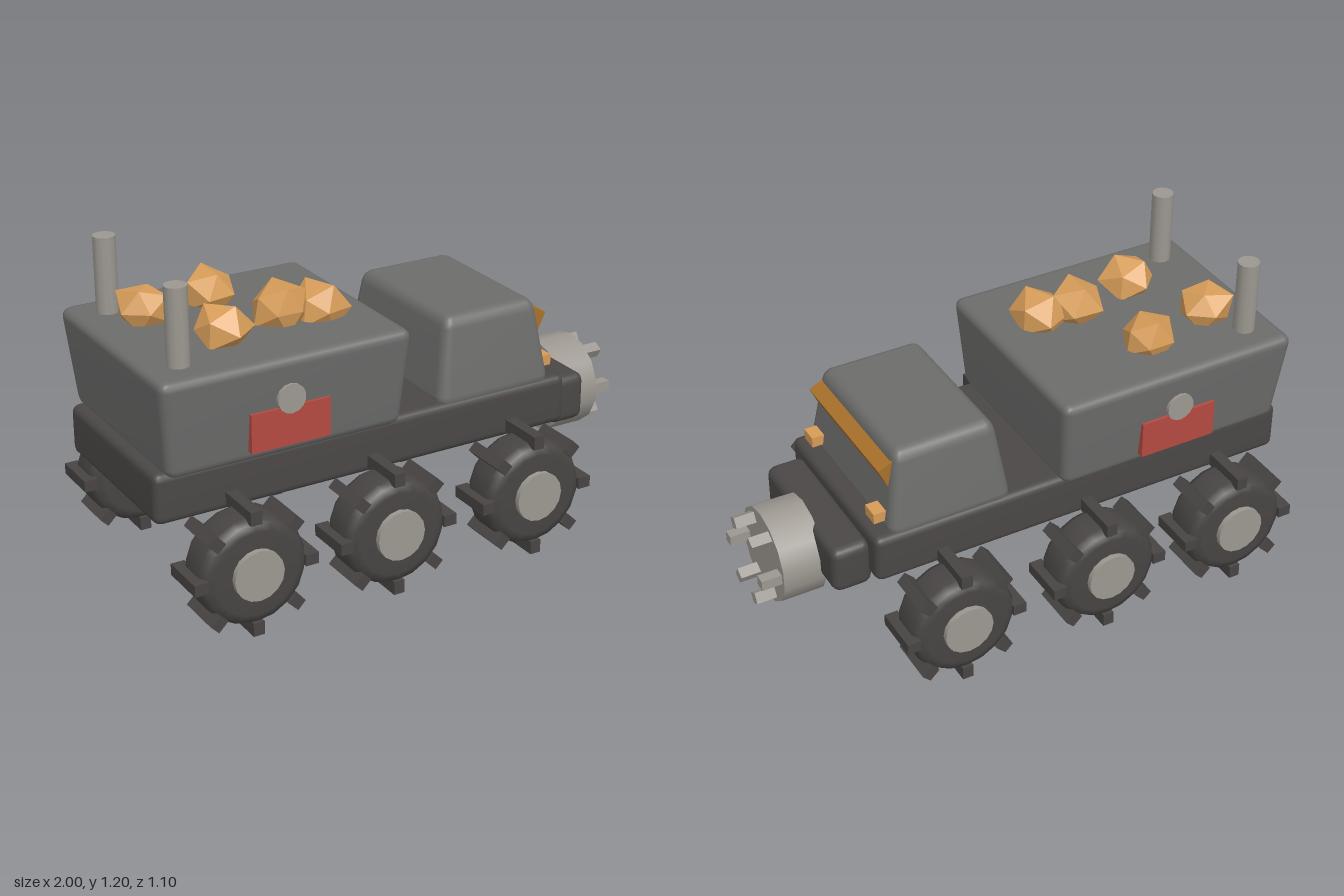
import * as THREE from 'three';
import { RoundedBoxGeometry } from 'three/addons/geometries/RoundedBoxGeometry.js';
import { mergeVertices } from 'three/addons/utils/BufferGeometryUtils.js';

const mat = (name, color, extra = {}) => new THREE.MeshStandardMaterial({ name, color, ...extra });

export function createModel() {
  const model = new THREE.Group();
  model.name = 'miningTruck';
  const dark = mat('darkChassis', 0x4a4746);
  const rubber = mat('rubber', 0x474443);
  const panel = mat('greyPanel', 0x6c6c6b);
  const metal = mat('lightMetal', 0x9c9790);
  const ore = mat('amberOre', 0xd69c58, { flatShading: true });
  const lamp = mat('amberLamp', 0xd69c58);
  const glass = mat('amberGlass', 0xa8702a);
  const red = mat('redMark', 0xb34a40);

  const add = (name, geo, material, x = 0, y = 0, z = 0, parent = model) => {
    const m = new THREE.Mesh(geo, material);
    m.name = name;
    m.position.set(x, y, z);
    parent.add(m);
    return m;
  };
  const box = (w, h, d) => new THREE.BoxGeometry(w, h, d);

  // Rounded block between two corners; x and z edges move linearly towards the top
  const block = (name, material, [x0, x1], [y0, y1], halfZ, r, [dx0, dx1, dz] = [0, 0, 0]) => {
    let geo = new RoundedBoxGeometry(x1 - x0, y1 - y0, halfZ * 2, 2, r);
    geo.deleteAttribute('normal');
    geo.deleteAttribute('uv');
    geo.clearGroups();
    geo = mergeVertices(geo, 1e-4);
    geo.translate((x0 + x1) / 2, (y0 + y1) / 2, 0);
    const p = geo.attributes.position;
    for (let i = 0; i < p.count; i++) {
      const t = (p.getY(i) - y0) / (y1 - y0);
      const s = (p.getX(i) - x0) / (x1 - x0);
      p.setX(i, p.getX(i) + t * (dx0 * (1 - s) + dx1 * s));
      p.setZ(i, p.getZ(i) * (1 + t * dz / halfZ));
    }
    geo.computeVertexNormals();
    return add(name, geo, material);
  };

  // Main bodies
  block('chassis', dark, [-1, 0.65], [0.39, 0.578], 0.345, 0.03);
  block('drillMount', dark, [0.635, 0.785], [0.35, 0.535], 0.287, 0.035);
  block('cargoBox', panel, [-0.96, -0.07], [0.56, 0.922], 0.373, 0.035, [-0.035, 0.025, 0.04]);
  block('cab', panel, [0.11, 0.592], [0.55, 0.88], 0.343, 0.045, [0.05, -0.05, -0.05]);

  // Windscreen bar and headlights
  add('windscreen', box(0.08, 0.09, 0.55), glass, 0.543, 0.787, 0).rotation.z = -0.43;
  for (const s of [1, -1]) {
    add('headlight', box(0.07, 0.04, 0.066), lamp, 0.59, 0.622, s * 0.248);
  }

  // Drill head with a ring of teeth
  const drill = new THREE.Group();
  drill.name = 'drill';
  drill.position.set(0.845, 0.387, 0);
  model.add(drill);
  const drum = new THREE.CylinderGeometry(0.178, 0.178, 0.16, 14);
  drum.rotateY(Math.PI / 2);
  drum.rotateZ(-Math.PI / 2);
  add('drillDrum', drum, metal, 0, 0, 0, drill);
  for (let i = 0; i < 6; i++) {
    const a = i * Math.PI / 3;
    const tooth = add('drillTooth', box(0.085, 0.04, 0.04), metal,
      0.1125, Math.sin(a) * 0.138, Math.cos(a) * 0.138, drill);
    tooth.rotation.x = -a;
  }

  // Wheels: tyre, eight treads and an outer hub
  const profile = [[0, -0.085], [0.155, -0.085], [0.185, -0.075], [0.2, -0.048],
    [0.2, 0.048], [0.185, 0.075], [0.155, 0.085], [0, 0.085]].map(([r, y]) => new THREE.Vector2(r, y));
  const tyreGeo = new THREE.LatheGeometry(profile, 18).rotateX(Math.PI / 2);
  const hubGeo = new THREE.CylinderGeometry(0.093, 0.093, 0.04, 16).rotateX(Math.PI / 2);
  const treadGeo = box(0.042, 0.05, 0.18);
  for (const side of [1, -1]) {
    for (const x of [-0.726, -0.175, 0.403]) {
      const wheel = new THREE.Group();
      wheel.name = 'wheel';
      wheel.position.set(x, 0.233, side * 0.445);
      if (side < 0) wheel.rotation.y = Math.PI;
      model.add(wheel);
      add('tyre', tyreGeo, rubber, 0, 0, 0, wheel);
      add('hub', hubGeo, metal, 0, 0, 0.085, wheel);
      for (let i = 0; i < 8; i++) {
        const a = i * Math.PI / 4;
        add('tread', treadGeo, rubber, -Math.sin(a) * 0.207, Math.cos(a) * 0.207, 0, wheel).rotation.z = a;
      }
    }
    // Exhaust, red side plate and round badge plate
    add('exhaustPipe', new THREE.CylinderGeometry(0.04, 0.04, 0.34, 12), metal, -0.865, 1.03, side * 0.278);
    add('sidePlate', box(0.3, 0.14, 0.03), red, -0.52, 0.675, side * 0.39);
    const disc = new THREE.CylinderGeometry(0.053, 0.053, 0.03, 14).rotateX(Math.PI / 2);
    add('sideDisc', disc, metal, -0.52, 0.775, side * 0.398);
  }

  // Ore chunks: unevenly pushed icosahedra
  let seed = 11;
  const rand = () => (seed = (seed * 16807) % 2147483647) / 2147483647;
  const chunks = [[-0.79, -0.14, 0.968], [-0.51, -0.195, 0.955], [-0.65, 0.155, 0.965],
    [-0.39, 0.1, 0.968], [-0.25, 0.125, 0.955]];
  for (const [x, z, y] of chunks) {
    const geo = new THREE.IcosahedronGeometry(0.108, 0);
    const p = geo.attributes.position;
    const scales = new Map();
    for (let i = 0; i < p.count; i++) {
      const v = new THREE.Vector3().fromBufferAttribute(p, i);
      const key = v.toArray().map((n) => Math.round(n * 1000)).join();
      if (!scales.has(key)) scales.set(key, 0.82 + rand() * 0.3);
      v.multiplyScalar(scales.get(key));
      p.setXYZ(i, v.x, v.y * 0.88, v.z);
    }
    geo.computeVertexNormals();
    add('oreChunk', geo, ore, x, y, z).rotation.y = rand() * 6;
  }
  return model;
}
